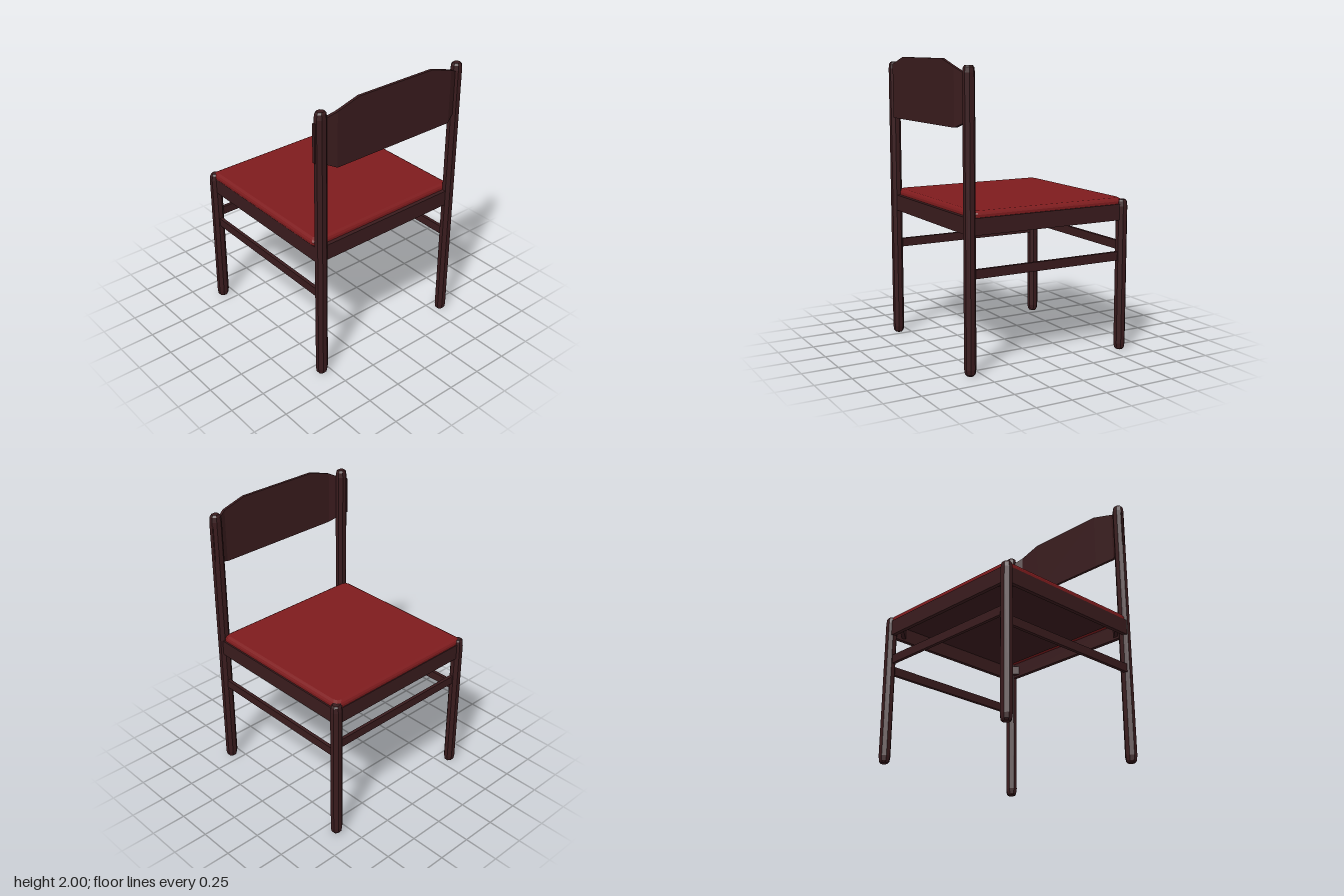
import * as THREE from 'three';

export function createModel() {
  const chair = new THREE.Group();
  chair.name = 'chair';

  const mat = (name, color) => {
    const m = new THREE.MeshStandardMaterial({ color, flatShading: true });
    m.name = name;
    return m;
  };
  const wood = mat('darkWood', 0x391b1d);
  const red = mat('redCushion', 0x7e1b1d);

  const add = (name, geometry, material, x = 0, y = 0, z = 0) => {
    const mesh = new THREE.Mesh(geometry, material);
    mesh.name = name;
    mesh.position.set(x, y, z);
    chair.add(mesh);
    return mesh;
  };
  // box given by its limits on each axis
  const slab = (name, [x0, x1], [y0, y1], [z0, z1]) =>
    add(name, new THREE.BoxGeometry(x1 - x0, y1 - y0, z1 - z0), wood,
      (x0 + x1) / 2, (y0 + y1) / 2, (z0 + z1) / 2);

  // eight-sided legs with chamfered ends
  const legGeometry = (h) => {
    const profile = [[0, 0], [0.026, 0], [0.036, 0.012], [0.041, 0.045],
      [0.041, h - 0.045], [0.036, h - 0.012], [0.026, h], [0, h]]
      .map(([r, y]) => new THREE.Vector2(r, y));
    const g = new THREE.LatheGeometry(profile, 8);
    g.rotateY(Math.PI / 8);
    g.scale(1.05, 1, 0.94);
    return g;
  };
  add('tallLegRight', legGeometry(1.963), wood, -0.56, 0, 0.575);
  add('tallLegLeft', legGeometry(1.963), wood, 0.569, 0, 0.575);
  for (const s of [-1, 1]) add('shortLeg', legGeometry(1.05), wood, s * 0.578, 0, -0.586);

  // seat frame
  slab('backrestSideRail', [-0.55, 0.55], [0.91, 1.02], [0.562, 0.59]);
  slab('openSideRail', [-0.57, 0.57], [0.91, 1.02], [-0.608, -0.58]);
  slab('sideRailRight', [-0.596, -0.568], [0.91, 1.02], [-0.58, 0.57]);
  slab('sideRailLeft', [0.57, 0.598], [0.91, 1.02], [-0.58, 0.57]);
  // the board stops short of the backrest side, leaving a strip of cushion open below
  slab('seatBoard', [-0.57, 0.572], [1.008, 1.024], [-0.582, 0.52]);

  // diagonal blocks under the seat corners
  for (const sx of [-1, 1]) for (const sz of [-1, 1]) {
    const block = add('cornerBlock', new THREE.BoxGeometry(0.13, 0.065, 0.025), wood,
      sx * 0.525, 0.958, sz * 0.525);
    block.rotation.y = sx * sz * Math.PI / 4;
  }

  // stretchers
  slab('openSideStretcher', [-0.56, 0.56], [0.7, 0.76], [-0.595, -0.572]);
  for (const s of [-1, 1]) {
    const a = s * 0.575;
    slab('sideStretcher', [a - 0.012, a + 0.012], [0.63, 0.69], [-0.57, 0.56]);
  }

  // cushion: rounded rectangle layers shrinking towards the top
  const cx = -0.004, cz = -0.02;
  const layers = [[0, 1.018], [0, 1.038], [0.007, 1.051], [0.024, 1.061]];
  const ring = ([inset, y]) => {
    const x = 0.591 - inset, z = 0.582 - inset, c = 0.035;
    return [[x, z - c], [x - c * 0.3, z - c * 0.3], [x - c, z],
      [c - x, z], [c * 0.3 - x, z - c * 0.3], [-x, z - c],
      [-x, c - z], [c * 0.3 - x, c * 0.3 - z], [c - x, -z],
      [x - c, -z], [x - c * 0.3, c * 0.3 - z], [x, c - z]]
      .map(([px, pz]) => [px + cx, y, pz + cz]);
  };
  const rings = layers.map(ring);
  const pad = [];
  const tri = (out, ...pts) => pts.forEach((p) => out.push(...p));
  const quad = (out, a, b, c, d) => tri(out, a, b, c, a, c, d);
  const n = rings[0].length;
  for (let i = 0; i < n; i++) {
    const j = (i + 1) % n;
    for (let k = 0; k + 1 < rings.length; k++)
      quad(pad, rings[k][j], rings[k][i], rings[k + 1][i], rings[k + 1][j]);
    tri(pad, [cx, 1.061, cz], rings[3][j], rings[3][i]);
    tri(pad, [cx, 1.018, cz], rings[0][i], rings[0][j]);
  }
  const fromTriangles = (data) => {
    const g = new THREE.BufferGeometry();
    g.setAttribute('position', new THREE.Float32BufferAttribute(data, 3));
    g.computeVertexNormals();
    return g;
  };
  add('seatCushion', fromTriangles(pad), red);

  // bent backrest: sections along x as [x, bottom, top, z]
  const half = [[0.3, 1.577, 2.0, 0.616], [0.47, 1.577, 1.95, 0.616],
    [0.53, 1.605, 1.92, 0.59], [0.607, 1.63, 1.89, 0.566]];
  const sections = [...half.map(([x, ...r]) => [-x, ...r]).reverse(), ...half]
    .map(([x, b, t, z]) => [[x, b, z + 0.01], [x, t, z + 0.01], [x, t, z - 0.01], [x, b, z - 0.01]]);
  const rest = [];
  for (let i = 0; i + 1 < sections.length; i++) {
    const p = sections[i], q = sections[i + 1];
    for (let k = 0; k < 4; k++) {
      const m = (k + 1) % 4;
      quad(rest, p[k], q[k], q[m], p[m]);
    }
  }
  quad(rest, ...sections[0]);
  quad(rest, ...[...sections[sections.length - 1]].reverse());
  add('backrest', fromTriangles(rest), wood);

  return chair;
}
